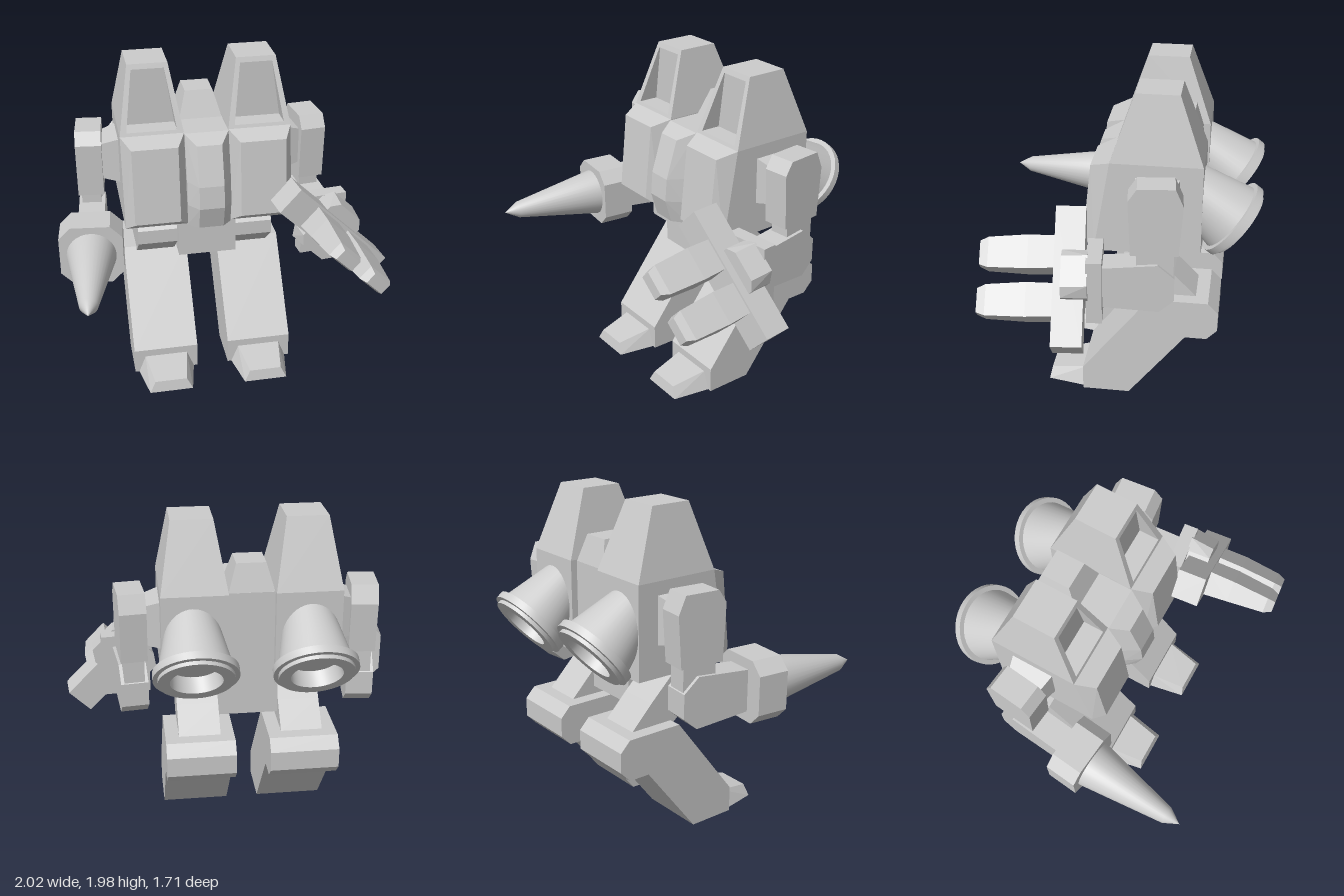
import * as THREE from 'three';
import { ConvexGeometry } from 'three/addons/geometries/ConvexGeometry.js';
import { toCreasedNormals } from 'three/addons/utils/BufferGeometryUtils.js';

const CX = -0.0825; // centre line of the body
const V = (x, y, z) => new THREE.Vector3(x, y, z);

export function createModel() {
  const model = new THREE.Group();
  const mat = new THREE.MeshStandardMaterial({ color: 0xcccccc, flatShading: true });
  const smooth = new THREE.MeshStandardMaterial({ color: 0xcccccc, side: THREE.DoubleSide });

  const add = (parent, name, geo, x = 0, y = 0, z = 0, m = mat) => {
    const mesh = new THREE.Mesh(geo, m);
    mesh.name = name;
    mesh.position.set(x, y, z);
    parent.add(mesh);
    return mesh;
  };
  const group = (parent, name, x, y, z) => {
    const g = new THREE.Group();
    g.name = name;
    g.position.set(x, y, z);
    parent.add(g);
    return g;
  };
  // convex block from [halfWidth, y, z] points mirrored in x
  const block = (pts) => new ConvexGeometry(pts.flatMap(([w, y, z]) => [V(w, y, z), V(-w, y, z)]));
  // side profile of [z, y] points, extruded across x
  const prism = (profile, half) => {
    const shape = new THREE.Shape(profile.map(([z, y]) => new THREE.Vector2(z, y)));
    return new THREE.ExtrudeGeometry(shape, { depth: 2 * half, bevelEnabled: false })
      .rotateY(-Math.PI / 2).translate(half, 0, 0);
  };
  // square block with cut corners, extruded along z
  const octagon = (r, c, z0, z1) => {
    const k = r - c;
    const shape = new THREE.Shape([[r, -k], [r, k], [k, r], [-k, r], [-r, k], [-r, -k], [-k, -r], [k, -r]]
      .map(([x, y]) => new THREE.Vector2(x, y)));
    return new THREE.ExtrudeGeometry(shape, { depth: z1 - z0, bevelEnabled: false }).translate(0, 0, z0);
  };
  const lathe = (pts, seg = 40) => toCreasedNormals(
    new THREE.LatheGeometry(pts.map(([r, t]) => new THREE.Vector2(r, t)), seg).rotateX(Math.PI / 2), 0.5);
  const quads = (list) => {
    const pos = list.flatMap(([a, b, c, d]) => [a, b, c, a, c, d]);
    const geo = new THREE.BufferGeometry().setFromPoints(pos);
    geo.computeVertexNormals();
    return geo;
  };

  // tapered pod top with a window sunk straight back
  const towerGeometry = () => {
    const ring = (wb, yb, zb, wt, yt, zt) => [V(-wb, yb, zb), V(wb, yb, zb), V(wt, yt, zt), V(-wt, yt, zt)];
    const front = ring(0.19, 1.58, 0.015, 0.12, 1.975, -0.12);
    const back = ring(0.19, 1.58, -0.515, 0.12, 1.975, -0.37);
    const rim = ring(0.15, 1.6, 0.008, 0.097, 1.945, -0.11);
    const pane = ring(0.15, 1.6, -0.115, 0.097, 1.945, -0.115);
    const faces = [pane, [back[1], back[0], back[3], back[2]]];
    for (let i = 0; i < 4; i++) {
      const j = (i + 1) % 4;
      faces.push([front[i], front[j], rim[j], rim[i]], [rim[i], rim[j], pane[j], pane[i]],
        [front[j], front[i], back[i], back[j]]);
    }
    return quads(faces);
  };

  // centre body, head and pelvis
  add(model, 'centreBody', block([
    [0.133, 1.575, -0.475], [0.133, 1.0, -0.475], [0.133, 1.575, 0.02], [0.133, 1.3, 0.1],
    [0.133, 1.15, 0.12], [0.133, 1.0, 0.09],
    [0.075, 1.535, 0.125], [0.075, 1.3, 0.2], [0.075, 1.16, 0.212], [0.075, 1.015, 0.17],
  ]), CX);
  add(model, 'head', block([
    [0.133, 1.57, -0.475], [0.133, 1.57, -0.19], [0.085, 1.735, -0.43], [0.085, 1.735, -0.255],
  ]), CX);
  add(model, 'pelvis', new THREE.BoxGeometry(0.36, 0.26, 0.36), CX, 0.875, -0.16);

  for (const s of [1, -1]) {
    const side = s > 0 ? 'left' : 'right';

    // body pod
    const pod = group(model, side + 'Pod', CX + s * 0.323, 0, 0);
    add(pod, 'podTower', towerGeometry());
    add(pod, 'podBody', block([
      [0.19, 1.58, -0.515], [0.19, 1.025, -0.515], [0.19, 1.58, 0.015], [0.19, 1.02, 0.11],
      [0.138, 1.54, 0.13], [0.138, 1.075, 0.18],
    ]));

    // rear thruster, pointing back and down
    const thruster = add(model, side + 'Thruster', lathe([
      [0.137, -0.35], [0.213, 0], [0.242, 0], [0.242, 0.045], [0.215, 0.045], [0.215, 0.068],
      [0.148, 0.068], [0.14, -0.03], [0, -0.03],
    ]), CX + s * 0.335, 1.204, -0.668, smooth);
    thruster.lookAt(thruster.position.x, 1.204 - 0.615, -0.668 - 0.79);

    // leg
    const leg = group(model, side + 'Leg', CX + s * 0.303, 0, 0);
    add(leg, 'thigh', prism([
      [-0.045, 0.81], [-0.045, 0.9], [-0.12, 0.98], [-0.22, 0.97], [-0.36, 0.835], [-0.5, 0.69],
      [-0.4, 0.6], [-0.22, 0.66],
    ], 0.123));
    add(leg, 'shin', prism([
      [-0.22, 0.695], [-0.573, 0.695], [-0.635, 0.63], [-0.635, 0.51], [-0.573, 0.445],
      [-0.442, 0.445], [-0.1, 0], [0.19, 0], [0.19, 0.16],
    ], 0.203));
    add(leg, 'toe', block([
      [0.18, 0, 0.18], [0.135, 0.115, 0.18], [0.135, 0, 0.42], [0.1, 0.07, 0.405],
    ]));

    // shoulder joint
    const joint = [];
    for (const k of [1, -1]) {
      joint.push(V(s * 0.5, 1.36 + k * 0.145, -0.258 + 0.13), V(s * 0.5, 1.36 + k * 0.145, -0.258 - 0.13),
        V(s * 0.63, 1.355 + k * 0.11, -0.258 + 0.1), V(s * 0.63, 1.355 + k * 0.11, -0.258 - 0.1));
    }
    add(model, side + 'ShoulderJoint', new ConvexGeometry(joint), CX);

    // arm, turned slightly outward
    const arm = group(model, side + 'Arm', CX + s * 0.68, 0, -0.264);
    arm.rotation.y = s * 0.105;
    add(arm, 'shoulder', prism([
      [0.15, 1.48], [0.1, 1.555], [-0.11, 1.555], [-0.155, 1.45], [-0.135, 1.145], [0.135, 1.145],
    ], 0.078));
    add(arm, 'upperArm', new THREE.BoxGeometry(0.12, 0.24, 0.21), 0, 1.06, -0.005);
    add(arm, 'forearm', prism([
      [0.32, 1.06], [-0.02, 1.085], [-0.115, 1], [-0.115, 0.855], [-0.03, 0.78], [0.32, 0.81],
    ], 0.08));

    if (s < 0) {
      // drill hand
      add(arm, 'drillMount', octagon(0.188, 0.072, 0.31, 0.505), 0, 0.935, 0);
      add(arm, 'drill', lathe([[0, 0.5], [0.148, 0.5], [0.052, 1.04], [0, 1.13]], 32), 0, 0.935, 0, smooth);
    } else {
      // claw hand
      add(arm, 'wristPlate', new THREE.BoxGeometry(0.29, 0.39, 0.09), 0, 0.935, 0.335);
      const claw = group(arm, 'claw', 0, 0.942, 0);
      claw.rotation.z = -0.77;
      add(claw, 'palm', block([
        [0.14, -0.12, 0.37], [0.14, 0.12, 0.37], [0.09, -0.19, 0.37], [0.09, 0.19, 0.37],
        [0.14, -0.12, 0.52], [0.14, 0.12, 0.52], [0.09, -0.17, 0.52], [0.09, 0.17, 0.52],
      ]));
      add(claw, 'crossBar', new THREE.BoxGeometry(0.82, 0.185, 0.175), 0, 0, 0.48);
      for (const k of [1, -1]) {
        add(claw, 'finger', block([
          [0.095, -0.08, 0.55], [0.095, 0.08, 0.55], [0.1, -0.065, 0.72], [0.1, 0.075, 0.72],
          [0.09, -0.05, 0.95], [0.09, 0.05, 0.95], [0.07, -0.035, 1.0], [0.07, 0.035, 1.0],
        ]), k * 0.14);
      }
    }
  }
  return model;
}
